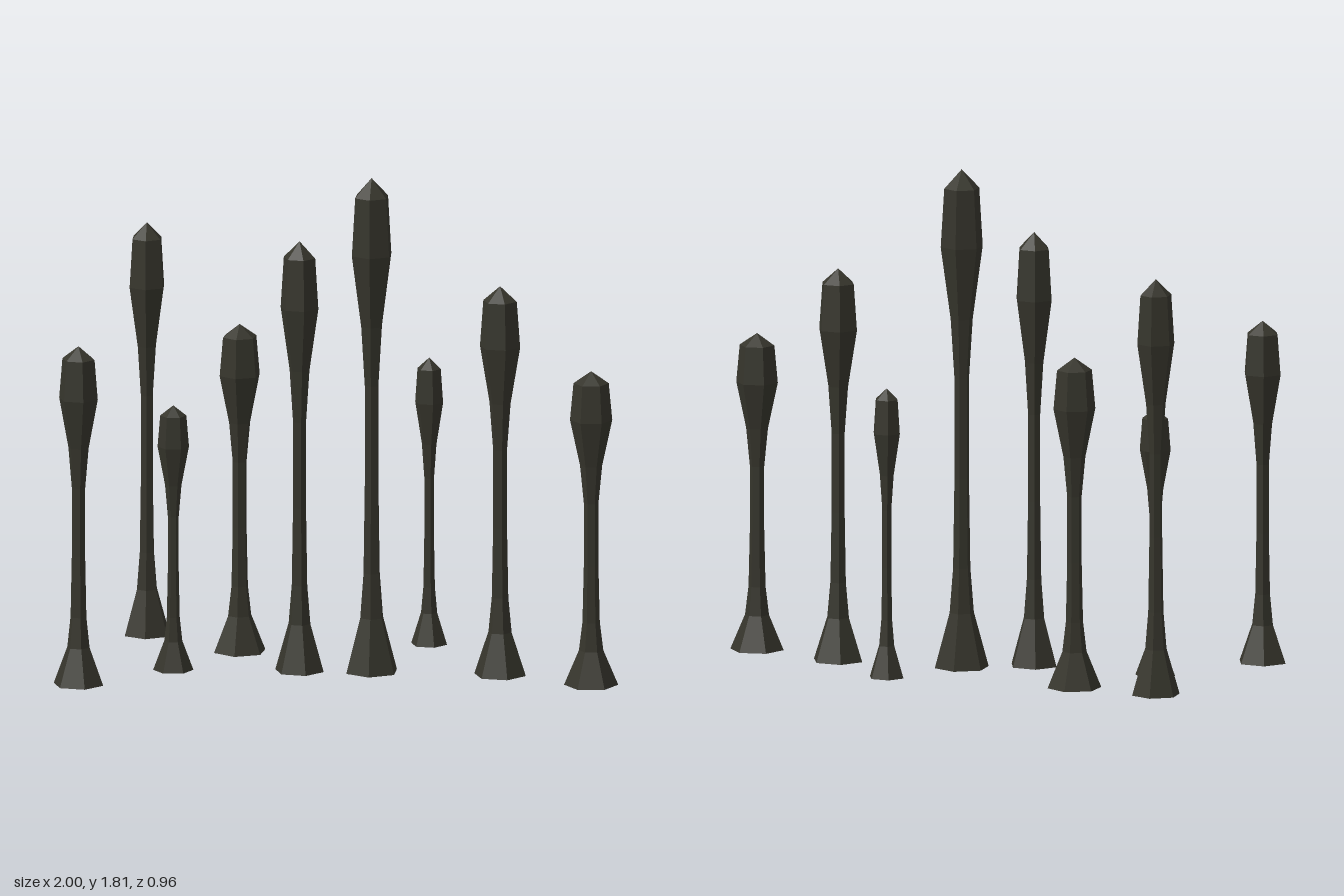
import * as THREE from 'three';

// Shared silhouette: [radius / base radius, height / total height]
const PROFILE = [
  [0, 0], [1, 0], [0.45, 0.11], [0.32, 0.2], [0.27, 0.38], [0.27, 0.58],
  [0.41, 0.7], [0.78, 0.845], [0.65, 0.962], [0, 1],
];

// x, z, bottom, top, base radius, turn in degrees
const COLUMNS = [
  [-0.91, 0.39, 0.01, 1.25, 0.092, 22],
  [-0.775, -0.4, 0.02, 1.53, 0.088, 4],
  [-0.613, 0.07, 0, 0.97, 0.072, 38],
  [-0.42, -0.26, 0, 1.2, 0.097, -3],
  [-0.158, 0.063, 0.01, 1.585, 0.09, 22],
  [0.093, -0.003, 0, 1.81, 0.099, 2],
  [0.247, -0.383, 0.02, 1.07, 0.066, 24],
  [0.555, -0.017, 0, 1.425, 0.095, 24],
  [0.9, 0.097, 0, 1.15, 0.097, 38],
];

// Six-sided faceted stalk with flared foot and pointed bulb
function stalkGeometry(radius, height) {
  const points = PROFILE.map(([r, y]) => new THREE.Vector2(r * radius, y * height));
  const geometry = new THREE.LatheGeometry(points, 6).toNonIndexed();
  geometry.computeVertexNormals();
  return geometry;
}

export function createModel() {
  const model = new THREE.Group();
  model.name = 'stalkCluster';
  const darkOlive = new THREE.MeshStandardMaterial({ color: 0x36352c });
  darkOlive.name = 'darkOlive';

  COLUMNS.forEach(([x, z, bottom, top, radius, turn], i) => {
    const stalk = new THREE.Mesh(stalkGeometry(radius, top - bottom), darkOlive);
    stalk.name = `stalk${i + 1}`;
    stalk.position.set(x, bottom, z);
    stalk.rotation.y = THREE.MathUtils.degToRad(turn);
    model.add(stalk);
  });
  return model;
}
